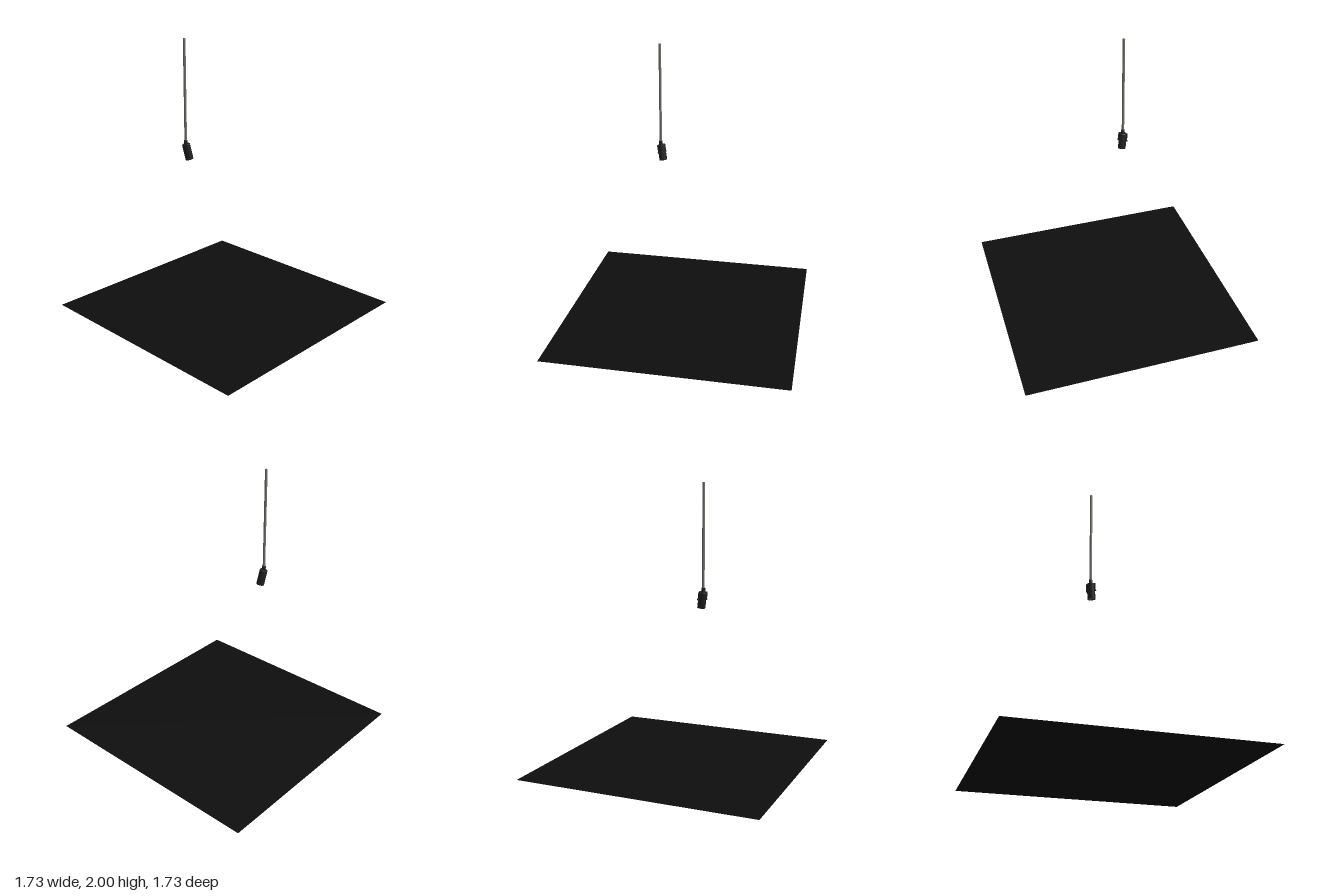
import * as THREE from 'three';

export function createModel() {
  const model = new THREE.Group();
  const mat = (color, side = THREE.FrontSide) => new THREE.MeshStandardMaterial({ color, side });
  const black = mat(0x222222);
  const metal = mat(0x77776f);
  const add = (parent, name, geometry, material, x = 0, y = 0, z = 0) => {
    const mesh = new THREE.Mesh(geometry, material);
    mesh.name = name;
    mesh.position.set(x, y, z);
    parent.add(mesh);
    return mesh;
  };

  // Dark square floor
  const floor = new THREE.PlaneGeometry(1.73, 1.73).rotateX(-Math.PI / 2);
  add(model, 'floor', floor, mat(0x0e0e0e, THREE.DoubleSide));

  // Hanging rod and the joint at its lower end
  const px = -0.167, pz = 0.218;
  add(model, 'rod', new THREE.CylinderGeometry(0.009, 0.009, 0.73, 16), metal, px, 1.635, pz);
  add(model, 'joint', new THREE.CylinderGeometry(0.013, 0.013, 0.03, 16), black, px, 1.275, pz);

  // Lamp head, its local -y axis aimed at the middle of the floor
  const head = new THREE.Group();
  head.name = 'lampHead';
  head.position.set(-0.16, 1.207, 0.207);
  const up = head.position.clone().normalize();
  const side = new THREE.Vector3(0, 1, 0).cross(up).normalize();
  head.quaternion.setFromRotationMatrix(
    new THREE.Matrix4().makeBasis(side, up, side.clone().cross(up)));
  model.add(head);

  // Housing: closed at the top, hollow at the mouth
  const profile = [
    [0, 0.057], [0.024, 0.057], [0.028, 0.053], [0.028, -0.057],
    [0.025, -0.057], [0.025, -0.046],
  ].map(([r, y]) => new THREE.Vector2(r, y)).reverse();
  const housing = new THREE.LatheGeometry(profile, 28).toNonIndexed();
  housing.computeVertexNormals();
  add(head, 'housing', housing, mat(0x222222, THREE.DoubleSide));

  // Recessed lens
  add(head, 'lens', new THREE.CylinderGeometry(0.025, 0.025, 0.004, 28), mat(0xaaaaaa), 0, -0.047, 0);

  // Yoke arms and pivot knobs on both sides
  for (const s of [-1, 1]) {
    add(head, 'yokeArm', new THREE.BoxGeometry(0.003, 0.055, 0.012), black, s * 0.032, 0.026, 0);
    const knob = new THREE.CylinderGeometry(0.006, 0.006, 0.01, 12).rotateZ(Math.PI / 2);
    add(head, 'pivotKnob', knob, black, s * 0.032, 0.004, 0);
  }
  add(head, 'yokeBridge', new THREE.BoxGeometry(0.067, 0.003, 0.012), black, 0, 0.055, 0);
  return model;
}
